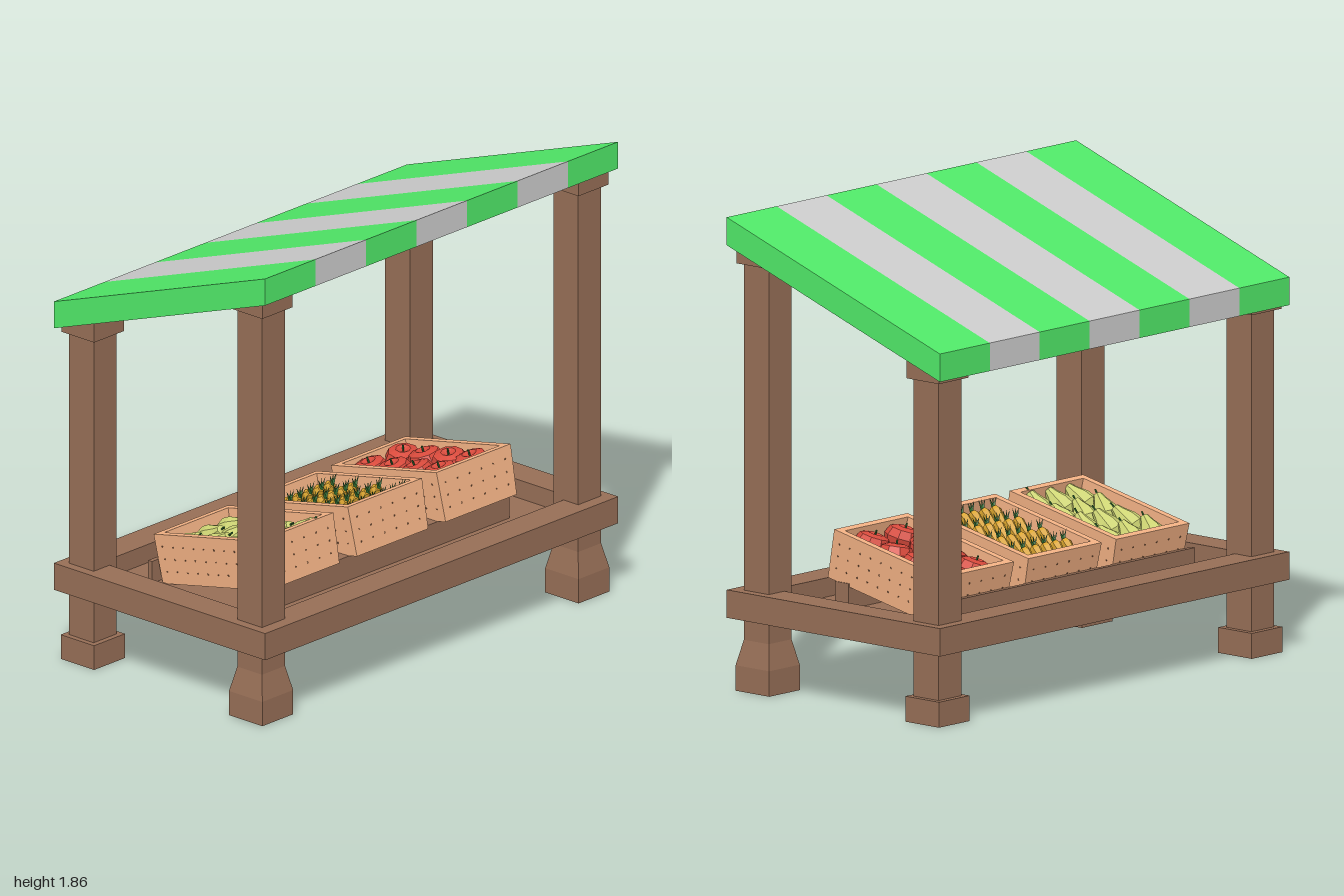
import * as THREE from 'three';
import { mergeGeometries } from 'three/addons/utils/BufferGeometryUtils.js';

const mat = (color) => new THREE.MeshStandardMaterial({ color, flatShading: true });
const WOOD = mat(0x966e56), CRATE = mat(0xf2b184), NAIL = mat(0x8a5f42), GREEN = mat(0x50e868), GREY = mat(0xcccccc);
const RED = mat(0xd84a3c), CARROT = mat(0xdba52e), PEAR = mat(0xcdd473), LEAF = mat(0x2f6b2f), SLATE = mat(0x303030);

function add(parent, name, geo, material, x = 0, y = 0, z = 0) {
  const m = new THREE.Mesh(geo, material);
  m.name = name;
  m.position.set(x, y, z);
  parent.add(m);
  return m;
}

// Moves every vertex of a geometry by a rule
function bend(geo, rule) {
  const p = geo.attributes.position, v = new THREE.Vector3();
  for (let i = 0; i < p.count; i++) {
    rule(v.fromBufferAttribute(p, i));
    p.setXYZ(i, v.x, v.y, v.z);
  }
  geo.computeVertexNormals();
  return geo;
}

const box = (w, h, d, x = 0, y = 0, z = 0) => new THREE.BoxGeometry(w, h, d).translate(x, y, z);

// Square block that narrows from its bottom width to its top width
const taperBlock = (bottom, top, h) =>
  new THREE.CylinderGeometry(top * Math.SQRT1_2, bottom * Math.SQRT1_2, h, 4).rotateY(Math.PI / 4);

const SLOPE = 0.347;
const underRoof = (z) => 1.557 + SLOPE * z;

// Post with foot and a cap cut to the slope of the roof
function makePost(x, z, front) {
  const g = new THREE.Group();
  g.name = front ? 'frontPost' : 'backPost';
  const capBottom = front ? 1.68 : 1.35;
  add(g, 'shaft', box(0.13, capBottom, 0.13), WOOD, x, capBottom / 2 + 0.01, z);
  add(g, 'foot', box(0.175, 0.1, 0.175), WOOD, x, 0.05, z);
  if (front) add(g, 'footTaper', taperBlock(0.175, 0.13, 0.1), WOOD, x, 0.15, z);
  const cap = bend(box(0.17, 0.04, 0.17, x, capBottom + 0.02, z), (v) => {
    if (v.y > capBottom + 0.02) v.y = underRoof(v.z) + 0.003;
  });
  add(g, 'cap', cap, WOOD);
  return g;
}

const W = 0.42, H = 0.2, D = 0.566, T = 0.03;

// Open crate, slightly narrower at the bottom, with rows of nails
function makeCrate(name) {
  const g = new THREE.Group();
  g.name = name;
  const narrow = (v) => { v.x *= 0.96 + 0.04 * v.y / H; };
  const walls = [box(W - 2 * T, 0.07, D - 2 * T, 0, 0.035, 0)];
  const nails = [];
  for (const s of [-1, 1]) {
    walls.push(box(T, H, D, s * (W - T) / 2, H / 2, 0));
    walls.push(box(W - 2 * T, H, T, 0, H / 2, s * (D - T) / 2));
    for (const y of [0.05, 0.1, 0.15]) {
      for (let i = 0; i < 10; i++) nails.push(box(0.004, 0.006, 0.006, s * W / 2, y, (i - 4.5) * 0.055));
      for (let i = 0; i < 6; i++) nails.push(box(0.006, 0.006, 0.004, (i - 2.5) * 0.068, y, s * D / 2));
    }
  }
  add(g, 'crateBody', bend(mergeGeometries(walls), narrow), CRATE);
  add(g, 'nails', bend(mergeGeometries(nails), narrow), NAIL);
  add(g, 'signPlate', box(0.13, 0.065, 0.014), SLATE, 0, 0.06, -D / 2 - 0.005);
  return g;
}

const lathe = (pts, n) => new THREE.LatheGeometry(pts.map((p) => new THREE.Vector2(...p)), n);

// Fills a crate with a grid of produce, each item turned a little differently
function fill(crate, cols, rows, y, makeItem) {
  for (let c = 0; c < cols; c++) for (let r = 0; r < rows; r++) {
    const item = makeItem(c * 7 + r * 3);
    item.position.set(((c + 0.5) / cols - 0.5) * 0.35, y, ((r + 0.5) / rows - 0.5) * 0.5);
    crate.add(item);
  }
}

const appleGeo = lathe([[0, -0.055], [0.035, -0.06], [0.062, -0.025], [0.074, 0.015], [0.06, 0.047], [0.03, 0.057], [0, 0.042]], 9);
const pearGeo = lathe([[0, -0.06], [0.035, -0.055], [0.055, -0.02], [0.047, 0.02], [0.027, 0.06], [0.018, 0.085], [0, 0.09]], 8);
const carrotGeo = lathe([[0, -0.09], [0.012, -0.05], [0.024, 0.035], [0.016, 0.05], [0, 0.052]], 6);
const stemGeo = new THREE.CylinderGeometry(0.004, 0.004, 0.03, 5);
const leafGeo = new THREE.ConeGeometry(0.008, 0.05, 4);

function makeApple(k) {
  const g = new THREE.Group();
  g.name = 'apple';
  add(g, 'appleBody', appleGeo, RED);
  add(g, 'appleStem', stemGeo, LEAF, 0, 0.056, 0);
  g.rotation.set(0.25 * Math.sin(k), k, 0.25 * Math.cos(k));
  return g;
}

function makePear(k) {
  const g = new THREE.Group();
  g.name = 'pear';
  add(g, 'pearBody', pearGeo, PEAR);
  add(g, 'pearStem', stemGeo, LEAF, 0, 0.095, 0);
  g.rotation.set(1.0 + 0.15 * Math.sin(k), 0, 0.2 * Math.cos(k));
  return g;
}

function makeCarrot(k) {
  const g = new THREE.Group();
  g.name = 'carrot';
  add(g, 'carrotRoot', carrotGeo, CARROT);
  // Leaves fan out and stand up from the crown
  for (const s of [-1, 0, 1]) {
    const leaf = add(g, 'carrotLeaf', leafGeo, LEAF, s * 0.01, 0.065, -0.012);
    leaf.rotation.set(-0.75, 0, -s * 0.4);
  }
  g.rotation.set(1.0, 0, 0.1 * Math.sin(k));
  return g;
}

export function createModel() {
  const model = new THREE.Group();
  model.name = 'marketStall';

  // Striped sloping roof
  const roof = new THREE.Group();
  roof.name = 'roof';
  const sw = 2 / 7;
  for (let i = 0; i < 7; i++) {
    const geo = bend(box(sw, 0.11, 1.11), (v) => { v.y += SLOPE * v.z; });
    add(roof, 'roofStripe', geo, i % 2 ? GREY : GREEN, (i - 3) * sw, 1.612, 0);
  }
  model.add(roof);

  // Four posts
  for (const x of [-0.895, 0.895]) model.add(makePost(x, 0.437, true), makePost(x, -0.447, false));

  // Table: a recessed floor with a raised rim
  const table = new THREE.Group();
  table.name = 'table';
  const rim = 0.13;
  add(table, 'tableFloor', box(2 - 2 * rim, 0.035, 1.11 - 2 * rim), WOOD, 0, 0.3025, 0);
  for (const s of [-1, 1]) {
    add(table, 'longRim', box(2, 0.11, rim), WOOD, 0, 0.34, s * (0.555 - rim / 2));
    add(table, 'shortRim', box(rim, 0.11, 1.11 - 2 * rim), WOOD, s * (1 - rim / 2), 0.34, 0);
  }
  // Bars that prop and stop the crates
  add(table, 'propBar', box(1.45, 0.105, 0.07), WOOD, -0.035, 0.368, 0.237);
  add(table, 'stopBar', box(1.45, 0.09, 0.02), WOOD, -0.035, 0.365, -0.272);
  model.add(table);

  // Three tilted crates of produce
  const pears = makeCrate('pearCrate'), carrots = makeCrate('carrotCrate'), apples = makeCrate('appleCrate');
  fill(pears, 3, 4, 0.135, makePear);
  fill(carrots, 6, 4, 0.145, makeCarrot);
  fill(apples, 2, 4, 0.14, makeApple);
  [pears, carrots, apples].forEach((crate, i) => {
    crate.position.set(-0.52 + i * 0.502, 0.372, 0.037);
    crate.rotation.x = -0.205;
    model.add(crate);
  });
  return model;
}
